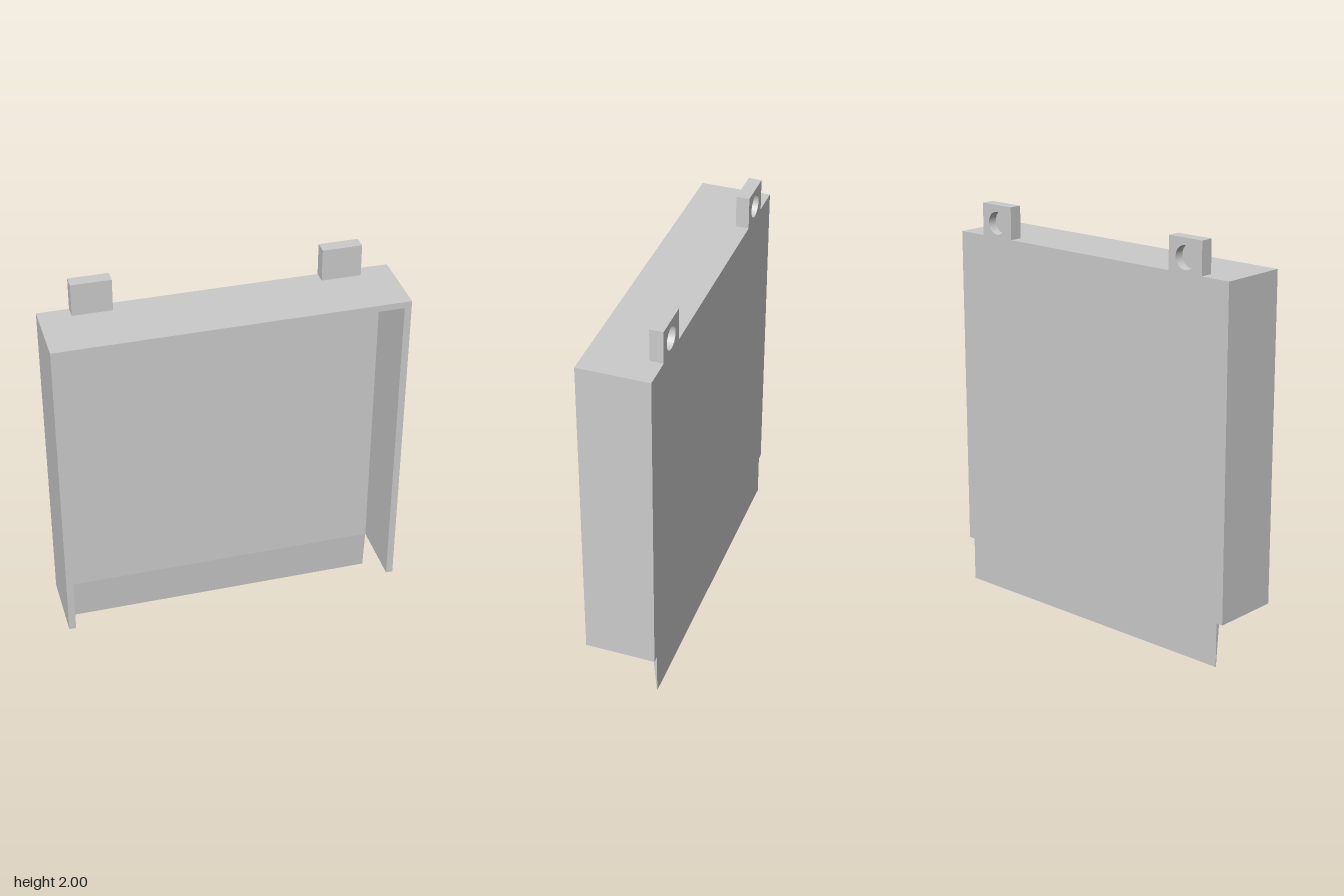
import * as THREE from 'three';

const material = new THREE.MeshStandardMaterial({ color: 0xcccccc, flatShading: true });
const BACK = -0.174, FRONT = 0.174;   // z limits
const OUTER = 0.844, INNER = 0.81;    // half widths outside and inside the rim
const TOP = 1.84, BOTTOM = 0.22;      // rim heights

const polygon = (points) => new THREE.Shape(points.map(([x, y]) => new THREE.Vector2(x, y)));

const extrude = (shape, depth) =>
  new THREE.ExtrudeGeometry(shape, { depth, bevelEnabled: false, curveSegments: 24 });

function addMesh(parent, name, geometry) {
  const mesh = new THREE.Mesh(geometry, material);
  mesh.name = name;
  parent.add(mesh);
  return mesh;
}

// Hanging tab with a blind round hole opening to the back
function createTab(name, x) {
  const width = 0.192, height = 2 - TOP, thickness = 0.064, holeDepth = 0.046;
  const tab = new THREE.Group();
  tab.name = name;
  tab.position.set(x, TOP, BACK);

  const w = width / 2;
  const outline = polygon([[-w, 0], [w, 0], [w, height], [-w, height]]);
  const hole = new THREE.Path();
  hole.absarc(0, 0.07, 0.056, 0, Math.PI * 2, true);
  outline.holes.push(hole);
  addMesh(tab, 'tabRing', extrude(outline, holeDepth));

  const front = thickness - holeDepth;
  addMesh(tab, 'tabFront', new THREE.BoxGeometry(width, height, front))
    .position.set(0, height / 2, holeDepth + front / 2);
  return tab;
}

export function createModel() {
  const model = new THREE.Group();
  model.name = 'hangingTray';

  // Rim: two sides and a top, open at the bottom
  const rim = polygon([
    [-OUTER, BOTTOM], [-INNER, BOTTOM], [-INNER, 1.808], [INNER, 1.808],
    [INNER, BOTTOM], [OUTER, BOTTOM], [OUTER, TOP], [-OUTER, TOP],
  ]);
  addMesh(model, 'rim', extrude(rim, FRONT - BACK)).position.z = BACK;

  // Back panel: side profile (z, y) tapering to a thin lip below the rim
  const face = BACK + 0.02;
  const profile = polygon([[BACK, 0], [BACK + 0.002, 0], [face, BOTTOM], [face, 1.808], [BACK, 1.808]]);
  const panel = extrude(profile, INNER * 2).rotateY(-Math.PI / 2).translate(INNER, 0, 0);
  addMesh(model, 'backPanel', panel);

  model.add(createTab('leftTab', 0.595), createTab('rightTab', -0.595));
  return model;
}
